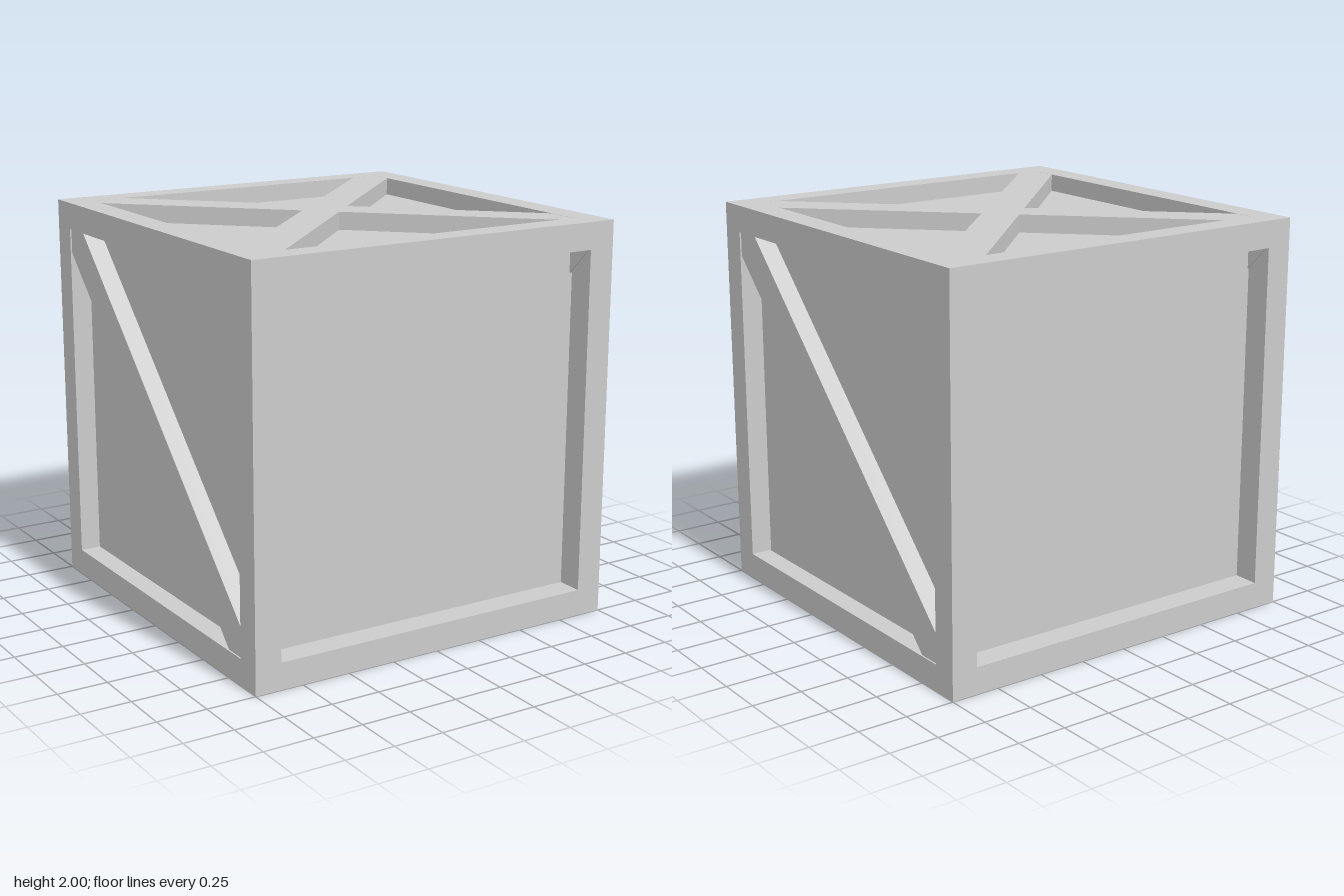
import * as THREE from 'three';

const BEAM = 0.135;   // frame beam thickness
const BRACE = 0.186;  // width of the diagonal boards

export function createModel() {
  const crate = new THREE.Group();
  crate.name = 'crate';
  const material = new THREE.MeshStandardMaterial({ color: 0xcccccc, flatShading: true });

  function box(name, size, position, parent = crate) {
    const mesh = new THREE.Mesh(new THREE.BoxGeometry(...size), material);
    mesh.name = name;
    mesh.position.set(...position);
    parent.add(mesh);
    return mesh;
  }

  // Frame: four posts, with rails between them at top and bottom
  const frame = new THREE.Group();
  frame.name = 'frame';
  crate.add(frame);
  const edge = 1 - BEAM / 2;
  const span = 2 - 2 * BEAM;
  for (const a of [-1, 1]) {
    for (const b of [-1, 1]) {
      box('cornerPost', [BEAM, 2, BEAM], [a * edge, 1, b * edge], frame);
      box('frontBackRail', [span, BEAM, BEAM], [0, 1 + a * edge, b * edge], frame);
      box('sideRail', [BEAM, BEAM, span], [a * edge, 1 + b * edge, 0], frame);
    }
  }

  // Recessed inner box forming the panels; a thin gap remains along the front
  box('innerPanels', [1.79, 1.79, 1.722], [0, 1.015, -0.006]);

  // One diagonal board on each side, leaning opposite ways
  for (const side of [-1, 1]) {
    const brace = box('sideBrace', [0.134, BRACE, 2.6], [side * 0.925, 1.008, 0]);
    brace.rotation.x = -side * Math.PI / 4;
  }

  // Crossed boards on the lid, slightly off centre
  for (const turn of [-1, 1]) {
    const brace = box('lidBrace', [BRACE, 0.135, 2.5], [0.01, 1.932, -0.03]);
    brace.rotation.y = turn * Math.PI / 4;
  }

  return crate;
}
